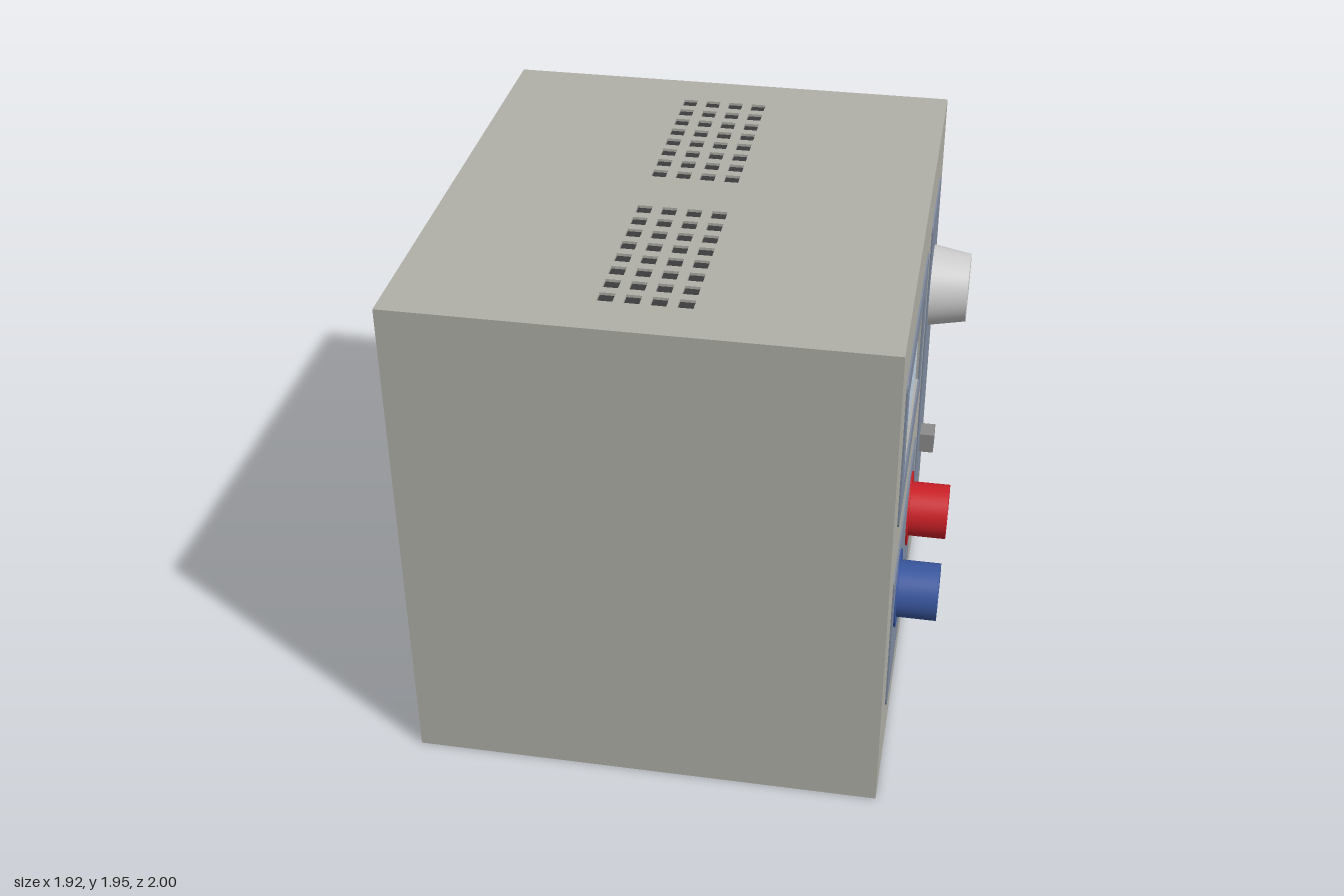
import * as THREE from 'three';
import { toCreasedNormals } from 'three/addons/utils/BufferGeometryUtils.js';

const mat = (color) => new THREE.MeshStandardMaterial({ color });

function add(parent, name, geometry, material, x = 0, y = 0, z = 0) {
  const mesh = new THREE.Mesh(geometry, material);
  mesh.name = name;
  mesh.position.set(x, y, z);
  parent.add(mesh);
  return mesh;
}

// Rectangle outline with optional rounded corners
function rect(path, x0, y0, x1, y1, r = 0) {
  path.moveTo(x0 + r, y0);
  path.lineTo(x1 - r, y0);
  if (r) path.quadraticCurveTo(x1, y0, x1, y0 + r);
  path.lineTo(x1, y1 - r);
  if (r) path.quadraticCurveTo(x1, y1, x1 - r, y1);
  path.lineTo(x0 + r, y1);
  if (r) path.quadraticCurveTo(x0, y1, x0, y1 - r);
  path.lineTo(x0, y0 + r);
  if (r) path.quadraticCurveTo(x0, y0, x0 + r, y0);
  return path;
}

// Flat plate with rectangular openings
function plate([x0, y0, x1, y1], depth, r = 0, holes = []) {
  const shape = rect(new THREE.Shape(), x0, y0, x1, y1, r);
  for (const h of holes) shape.holes.push(rect(new THREE.Path(), ...h));
  return new THREE.ExtrudeGeometry(shape, { depth, bevelEnabled: false, curveSegments: 4 });
}

// Turned part whose axis points out of the control face
function turned(points) {
  const profile = points.map(([r, h]) => new THREE.Vector2(r, h));
  return toCreasedNormals(new THREE.LatheGeometry(profile, 40).rotateX(Math.PI / 2), 0.6);
}

export function createModel() {
  const model = new THREE.Group();
  model.name = 'benchPowerSupply';
  const caseMat = mat(0xb0b0a8), panelMat = mat(0x808ca0), darkMat = mat(0x3c3c3c);
  const left = -0.965, face = 0.8, top = 1.95, skin = 0.012;

  // Case body
  const w = face - skin - left, h = top - skin;
  add(model, 'caseBody', new THREE.BoxGeometry(w, h, 2), caseMat, left + w / 2, h / 2, 0);

  // Perforated top with two banks of square vents
  const vents = [];
  for (const side of [-1, 1]) {
    for (let row = 0; row < 8; row++) {
      for (let col = 0; col < 4; col++) {
        const x = -0.22 + col * 0.0917, z = side * (0.147 + row * 0.0917), s = 0.0275;
        vents.push([x - s, z - s, x + s, z + s]);
      }
    }
    add(model, 'ventBacking', new THREE.BoxGeometry(0.36, 0.002, 0.75), darkMat,
      -0.083, h + 0.001, side * 0.468);
  }
  add(model, 'topPlate', plate([left, -1, face, 1], skin, 0, vents).rotateX(-Math.PI / 2),
    caseMat, 0, h, 0);

  // Control face: local x runs along -z, local z points outwards
  const controls = new THREE.Group();
  controls.name = 'controlFace';
  controls.rotation.y = Math.PI / 2;
  controls.position.x = face;
  model.add(controls);

  const screen = [-0.65, 1.2, 0.06, 1.59];
  const buttonHole = [0.545, 0.51, 0.655, 0.62];
  const t = 0.006;
  add(controls, 'facePlate', plate([-1, 0, 1, h], skin, 0, [screen, buttonHole]), caseMat, 0, 0, -skin);
  add(controls, 'displayPanel', plate([-0.77, 1.09, 0.18, 1.7], t, 0.035, [screen]), panelMat);
  add(controls, 'terminalPanel', plate([-0.77, 0.25, 0.18, 0.86], t, 0.035), panelMat);
  add(controls, 'knobPanel', plate([0.38, 0.25, 0.82, 1.7], t, 0.035, [buttonHole]), panelMat);
  add(controls, 'screen', plate(screen, 0.003), mat(0xc4d2e4), 0, 0, -skin);

  // Adjustment knob
  add(controls, 'knob', turned([[0.165, 0], [0.137, 0.155], [0, 0.155]]), mat(0xcccccc), 0.6, 1.315, 0);

  // Square push button in a dark recess
  add(controls, 'buttonRecess', plate(buttonHole, 0.002), darkMat, 0, 0, -skin);
  add(controls, 'button', new THREE.BoxGeometry(0.088, 0.088, 0.077), mat(0x8c8c8c), 0.6, 0.565, 0.0265);

  // Terminals: flange, hollow barrel, dark contact
  const terminals = [['blueTerminal', -0.55, 0x3a58a0], ['redTerminal', -0.04, 0xcc2027]];
  for (const [name, x, color] of terminals) {
    const terminal = new THREE.Group();
    terminal.name = name;
    terminal.position.set(x, 0.655, 0);
    controls.add(terminal);
    add(terminal, 'barrel', turned([
      [0.148, 0], [0.148, 0.012], [0.108, 0.012], [0.108, 0.16], [0.07, 0.16], [0.07, 0.06],
    ]), mat(color));
    add(terminal, 'contact', turned([
      [0.07, 0.08], [0.052, 0.08], [0.052, 0.09], [0, 0.09],
    ]), darkMat);
  }
  return model;
}
